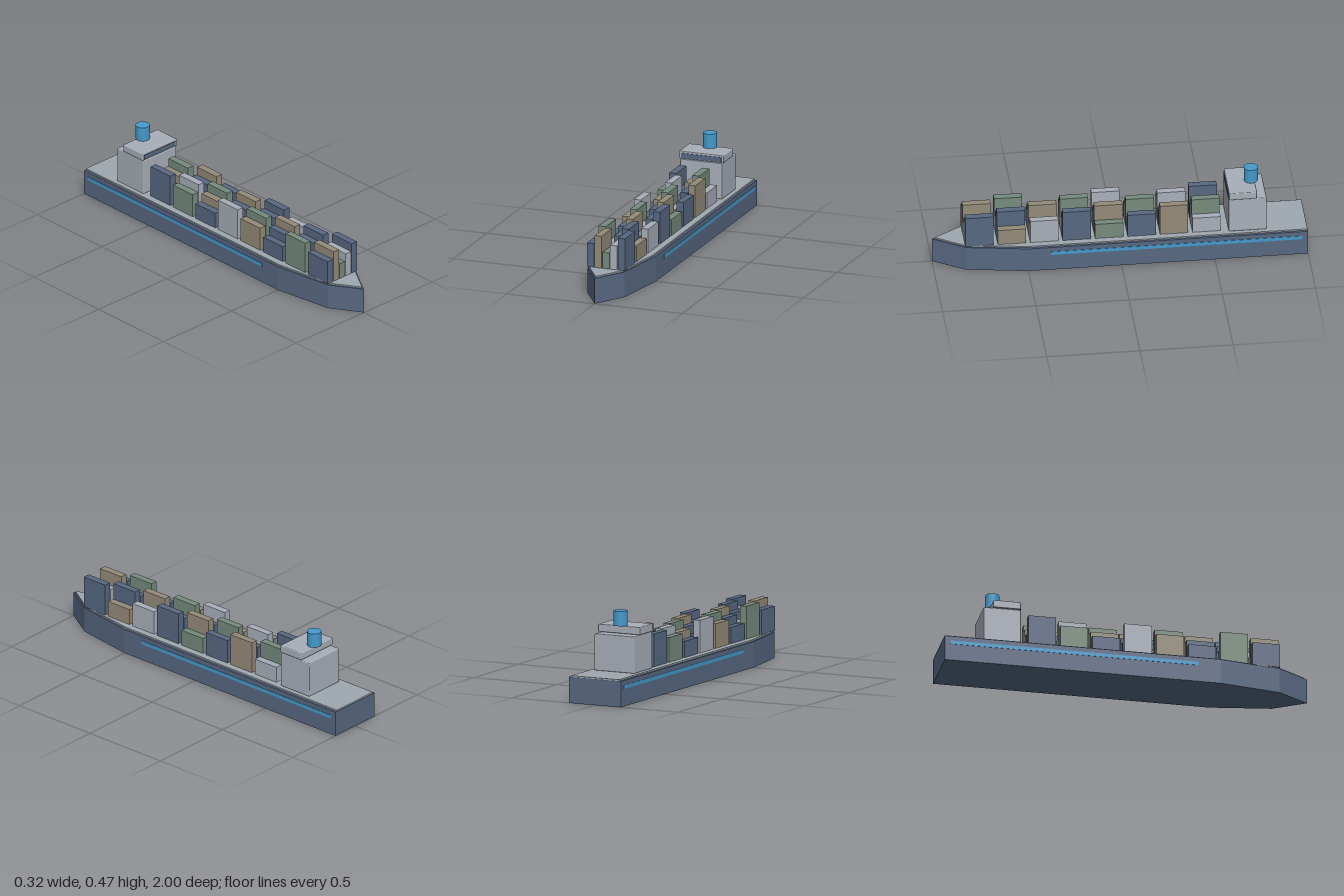
import * as THREE from 'three';
import { RoundedBoxGeometry } from 'three/addons/geometries/RoundedBoxGeometry.js';

const paint = (name, color) => {
  const m = new THREE.MeshStandardMaterial({ color });
  m.name = name;
  return m;
};

export function createModel() {
  const ship = new THREE.Group();
  ship.name = 'containerShip';

  const navy = paint('slateBlue', 0x586882);
  const deckGrey = paint('deckGrey', 0xa0a8b0);
  const silver = paint('silver', 0xa9afb9);
  const sky = paint('skyBlue', 0x459acb);
  const tan = paint('tan', 0x948b79);
  const green = paint('sageGreen', 0x768a7d);

  const add = (name, geometry, material, x, y, z, parent = ship) => {
    const mesh = new THREE.Mesh(geometry, material);
    mesh.name = name;
    mesh.position.set(x, y, z);
    parent.add(mesh);
    return mesh;
  };

  // Prism with the ship's plan outline, its top face at y = 0
  const planPrism = (scaleX, stern, tip, height) => {
    const half = [[0.157, stern], [0.157, 0.5], [0.105, 0.83]];
    const points = [
      ...half.map(([x, z]) => new THREE.Vector2(x * scaleX, z)),
      new THREE.Vector2(0, tip),
      ...half.reverse().map(([x, z]) => new THREE.Vector2(-x * scaleX, z)),
    ];
    return new THREE.ExtrudeGeometry(new THREE.Shape(points), { depth: height, bevelEnabled: false })
      .rotateX(Math.PI / 2);
  };

  // Hull, deck and side stripes
  add('hull', planPrism(1, -1, 1, 0.14), navy, 0, 0.14, 0);
  add('deck', planPrism(0.92, -0.998, 0.985, 0.008), deckGrey, 0, 0.148, 0);
  for (const side of [-1, 1]) {
    add('sideStripe', new THREE.BoxGeometry(0.004, 0.02, 1.35), sky, side * 0.157, 0.104, -0.295);
  }

  // Deckhouse, bridge with its window band, and funnel
  add('deckhouse', new RoundedBoxGeometry(0.242, 0.199, 0.204, 1, 0.005), silver, 0, 0.2465, -0.68);
  add('bridge', new RoundedBoxGeometry(0.254, 0.042, 0.15, 1, 0.005), silver, 0, 0.369, -0.655);
  add('bridgeWindow', new THREE.BoxGeometry(0.23, 0.025, 0.004), navy, 0, 0.3675, -0.579);
  add('funnel', new THREE.CylinderGeometry(0.038, 0.038, 0.08, 20), sky, 0, 0.43, -0.711);

  // Container stacks: eight bays of five, cycling through colours and heights
  const stacks = new THREE.Group();
  stacks.name = 'containerStacks';
  ship.add(stacks);
  const colours = [navy, tan, green, silver, navy];
  const tier = 0.0443;
  for (let bay = 0; bay < 8; bay++) {
    for (let row = 0; row < 5; row++) {
      const height = tier * (2 + (row + bay + 1) % 3);
      add('containerStack', new THREE.BoxGeometry(0.0395, height, 0.151),
        colours[(bay * 2 + row) % 5],
        (row - 2) * 0.044, 0.148 + height / 2, 0.757 - bay * 0.174, stacks);
    }
  }

  return ship;
}
